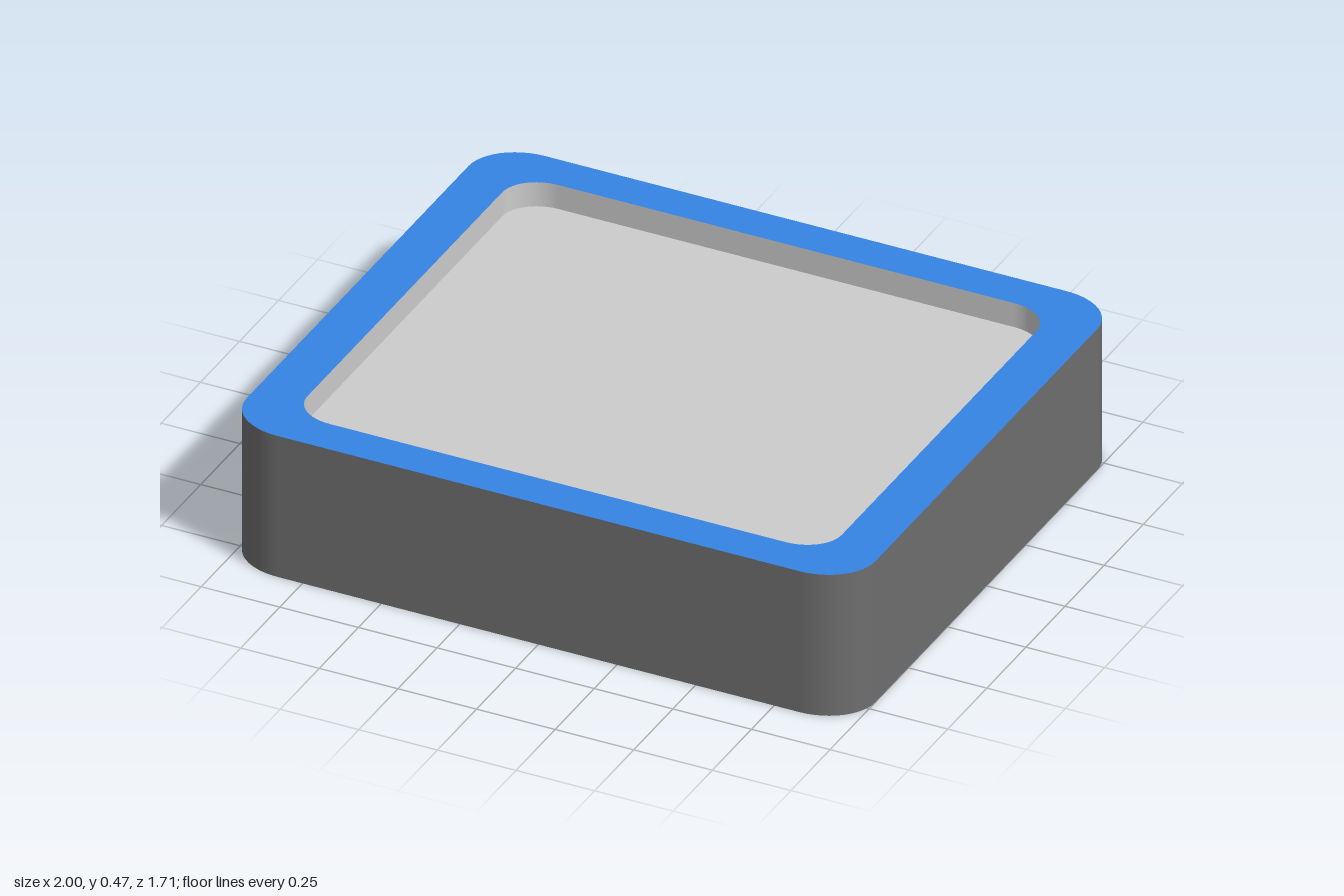
import * as THREE from 'three';

const HEIGHT = 0.47, FLOOR = 0.39, STEPS = 12;
const OUTER = { x: 1, z: 0.855, rx: 0.17, rz: 0.145 };
const INNER = { x: 0.85, z: 0.73, rx: 0.125, rz: 0.107 };

// Rounded rectangle outline: points with their outward normals
function outline({ x, z, rx, rz }) {
  const pts = [];
  for (let q = 0; q < 4; q++) {
    const sx = q === 0 || q === 3 ? 1 : -1, sy = q < 2 ? 1 : -1;
    for (let i = 0; i <= STEPS; i++) {
      const a = (q + i / STEPS) * Math.PI / 2, c = Math.cos(a), s = Math.sin(a);
      pts.push({
        p: new THREE.Vector2(sx * (x - rx) + rx * c, sy * (z - rz) + rz * s),
        n: new THREE.Vector2(c / rx, s / rz).normalize(),
      });
    }
  }
  return pts;
}

// Upright wall around an outline, facing outward (1) or inward (-1)
function wall(size, y0, y1, facing) {
  const pts = outline(size), pos = [], nor = [], idx = [];
  pts.forEach(({ p, n }, i) => {
    for (const y of [y0, y1]) {
      pos.push(p.x, y, -p.y);
      nor.push(n.x * facing, 0, -n.y * facing);
    }
    const a = 2 * i, b = 2 * ((i + 1) % pts.length);
    if (facing > 0) idx.push(a, b, b + 1, a, b + 1, a + 1);
    else idx.push(a, b + 1, b, a, a + 1, b + 1);
  });
  const g = new THREE.BufferGeometry();
  g.setAttribute('position', new THREE.Float32BufferAttribute(pos, 3));
  g.setAttribute('normal', new THREE.Float32BufferAttribute(nor, 3));
  g.setIndex(idx);
  return g;
}

// Level panel with an optional opening, facing up (1) or down (-1)
function panel(size, y, facing, hole) {
  const shape = new THREE.Shape(outline(size).map(o => o.p));
  if (hole) shape.holes.push(new THREE.Path(outline(hole).map(o => o.p)));
  return new THREE.ShapeGeometry(shape).rotateX(-facing * Math.PI / 2).translate(0, y, 0);
}

export function createModel() {
  const model = new THREE.Group();
  model.name = 'tray';
  const dark = new THREE.MeshStandardMaterial({ color: 0x6e6e6e });
  const light = new THREE.MeshStandardMaterial({ color: 0xcccccc });
  const blue = new THREE.MeshStandardMaterial({ color: 0x3584e4 });
  const add = (name, geometry, material) => {
    const mesh = new THREE.Mesh(geometry, material);
    mesh.name = name;
    model.add(mesh);
  };

  // Dark casing
  add('outerWall', wall(OUTER, 0, HEIGHT, 1), dark);
  add('underside', panel(OUTER, 0, -1), dark);
  // Blue rim around the opening
  add('rim', panel(OUTER, HEIGHT, 1, INNER), blue);
  // Shallow light recess
  add('recessWall', wall(INNER, FLOOR, HEIGHT, -1), light);
  add('recessFloor', panel(INNER, FLOOR, 1), light);
  return model;
}
